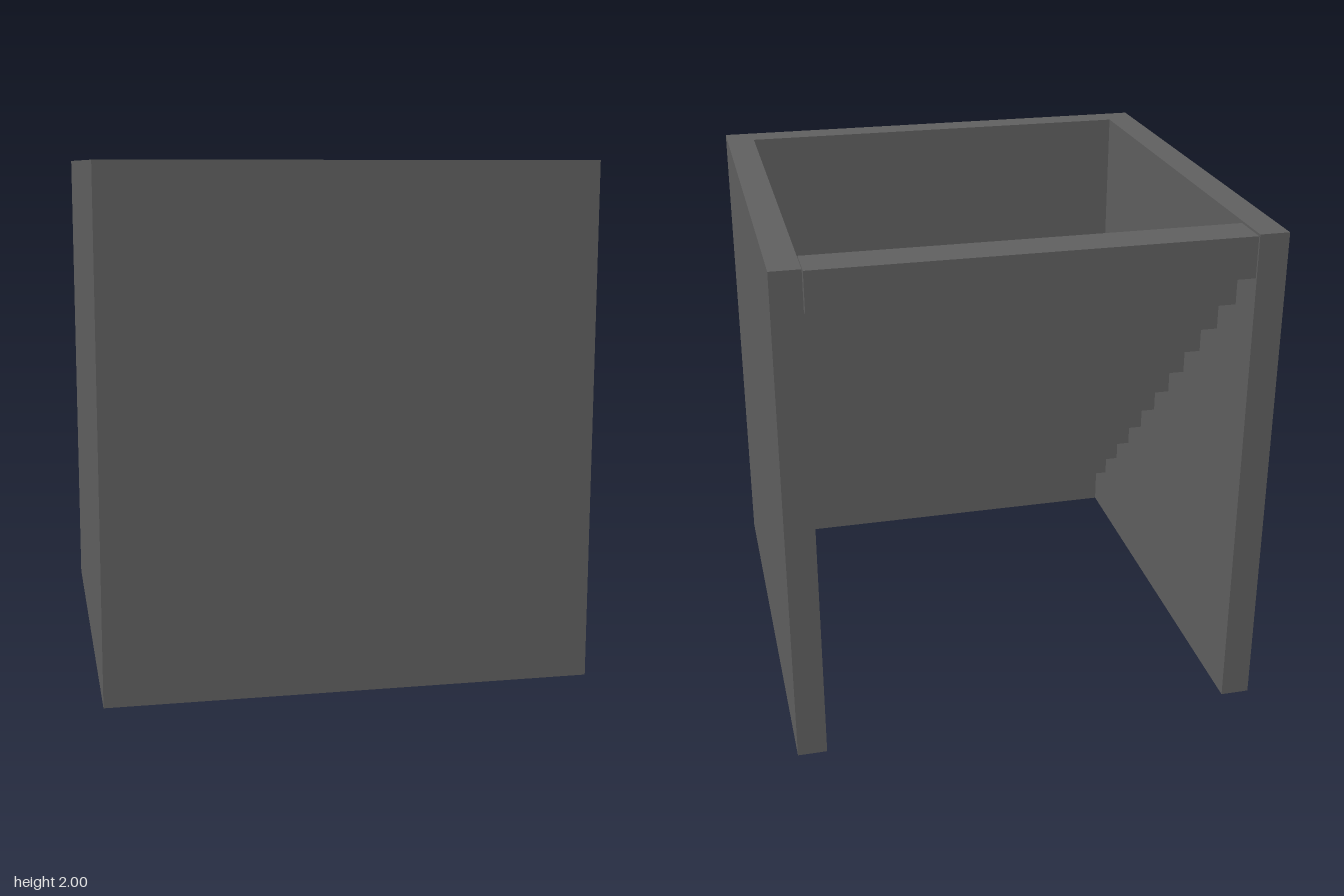
import * as THREE from 'three';

export function createModel() {
  const group = new THREE.Group();
  const material = new THREE.MeshStandardMaterial({ color: 0x606060, flatShading: true });
  const half = 0.94, inner = 0.825, height = 2;

  // U-shaped enclosure: two side walls and a front wall, open at the back
  const plan = new THREE.Shape([
    [-half, -half], [half, -half], [half, half], [inner, half],
    [inner, -inner], [-inner, -inner], [-inner, half], [-half, half],
  ].map(([x, y]) => new THREE.Vector2(x, y)));
  const wallGeometry = new THREE.ExtrudeGeometry(plan, { depth: height, bevelEnabled: false });
  wallGeometry.rotateX(-Math.PI / 2);
  const walls = new THREE.Mesh(wallGeometry, material);
  walls.name = 'walls';
  group.add(walls);

  // Floating staircase descending from the back edge to the front wall
  const stairs = new THREE.Group();
  stairs.name = 'stairs';
  const count = 11, tread = 0.1602, rise = 0.1602, top = 1.994;
  const stepGeometry = new THREE.BoxGeometry(1.642, rise, tread);
  for (let i = 0; i < count; i++) {
    const step = new THREE.Mesh(stepGeometry, material);
    step.name = `step${i + 1}`;
    step.position.set(0, top - rise * (i + 0.5), -half + tread * (i + 0.5));
    stairs.add(step);
  }
  group.add(stairs);
  return group;
}
